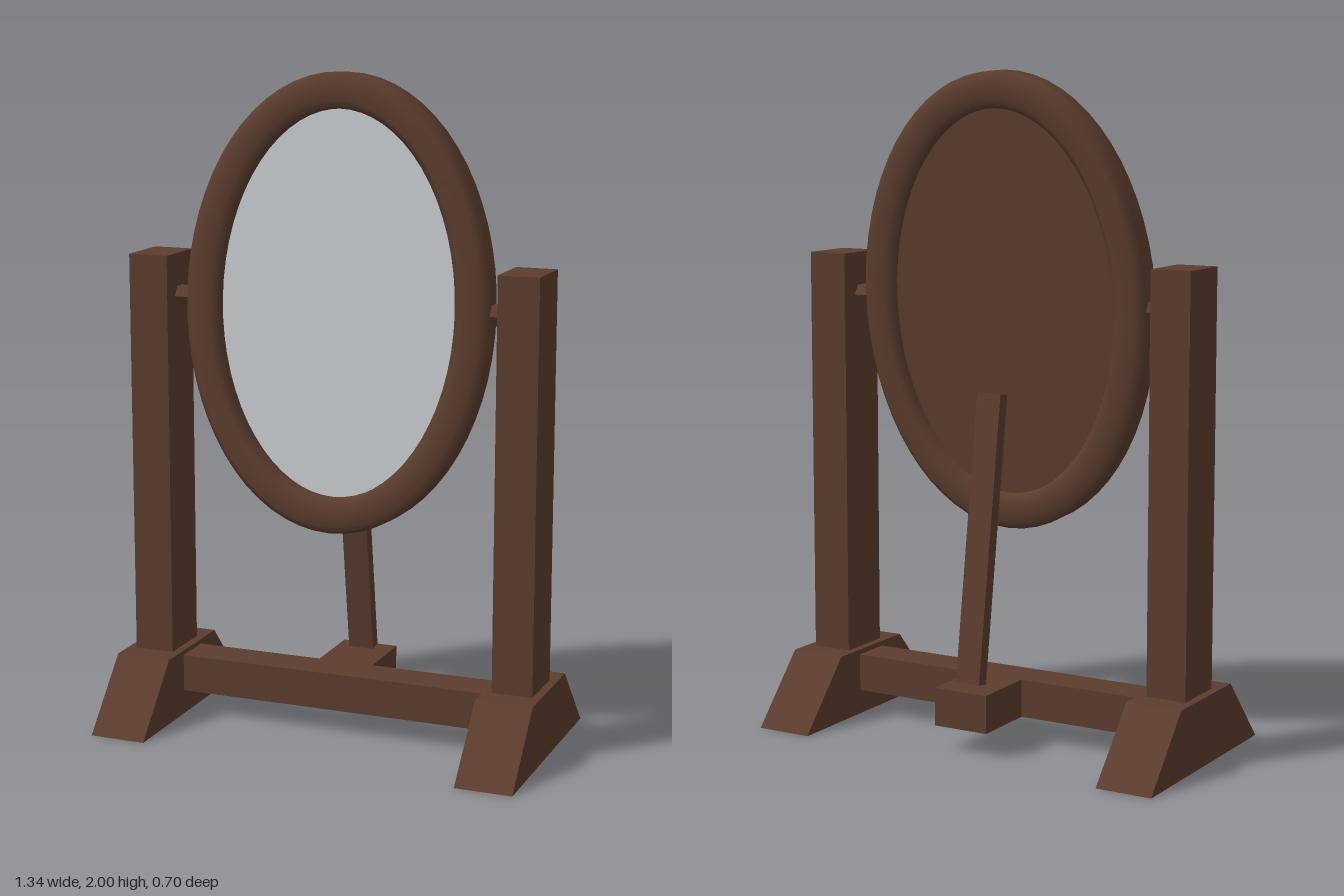
import * as THREE from 'three';

const wood = new THREE.MeshStandardMaterial({ color: 0x5c3d2e });
wood.name = 'dark wood';
const silver = new THREE.MeshStandardMaterial({ color: 0xc8ccd0 });
silver.name = 'mirror silver';

function add(parent, name, geometry, material, x = 0, y = 0, z = 0) {
  const mesh = new THREE.Mesh(geometry, material);
  mesh.name = name;
  mesh.position.set(x, y, z);
  parent.add(mesh);
  return mesh;
}

// Sweep a softened square section of constant width around an ellipse
function ovalRing(rx, ry, half, flat, segments = 64) {
  const section = [
    [half, -flat], [half, flat], [flat, half], [-flat, half],
    [-half, flat], [-half, -flat], [-flat, -half], [flat, -half],
  ];
  const count = section.length;
  const positions = [];
  const index = [];
  for (let i = 0; i < segments; i++) {
    const t = (i / segments) * Math.PI * 2;
    const normal = new THREE.Vector2(Math.cos(t) * ry, Math.sin(t) * rx).normalize();
    for (const [out, z] of section) {
      positions.push(Math.cos(t) * rx + normal.x * out, Math.sin(t) * ry + normal.y * out, z);
    }
    for (let j = 0; j < count; j++) {
      const a = i * count + j;
      const b = ((i + 1) % segments) * count + j;
      const c = ((i + 1) % segments) * count + (j + 1) % count;
      const d = i * count + (j + 1) % count;
      index.push(a, b, c, a, c, d);
    }
  }
  const geometry = new THREE.BufferGeometry();
  geometry.setAttribute('position', new THREE.Float32BufferAttribute(positions, 3));
  geometry.setIndex(index);
  geometry.computeVertexNormals();
  return geometry;
}

// Oval plate facing +z
function ovalPlate(rx, ry, depth) {
  const geometry = new THREE.CylinderGeometry(1, 1, depth, 64);
  geometry.rotateX(Math.PI / 2);
  geometry.scale(rx, ry, 1);
  return geometry;
}

// Trapezoid foot, extruded along x
function footGeometry() {
  const shape = new THREE.Shape([
    new THREE.Vector2(-0.35, 0), new THREE.Vector2(0.35, 0),
    new THREE.Vector2(0.165, 0.205), new THREE.Vector2(-0.165, 0.205),
  ]);
  const geometry = new THREE.ExtrudeGeometry(shape, { depth: 0.175, bevelEnabled: false });
  geometry.translate(0, 0, -0.0875);
  geometry.rotateY(Math.PI / 2);
  return geometry;
}

// Six-sided pivot pin lying along x
function pinGeometry() {
  let geometry = new THREE.CylinderGeometry(0.034, 0.034, 0.13, 6);
  geometry.rotateZ(Math.PI / 2);
  geometry = geometry.toNonIndexed();
  geometry.computeVertexNormals();
  return geometry;
}

export function createModel() {
  const model = new THREE.Group();
  model.name = 'standingMirror';

  // Side supports
  for (const [side, s] of [['left', 1], ['right', -1]]) {
    add(model, side + 'Foot', footGeometry(), wood, s * 0.5825, 0, 0);
    add(model, side + 'Post', new THREE.BoxGeometry(0.125, 1.25, 0.175), wood, s * 0.5825, 0.82, 0);
    add(model, side + 'PivotPin', pinGeometry(), wood, s * 0.485, 1.315, 0);
  }

  // Crossbar with the rear block and leaning strut
  add(model, 'crossbar', new THREE.BoxGeometry(1.04, 0.115, 0.125), wood, 0, 0.1325, 0);
  add(model, 'strutBlock', new THREE.BoxGeometry(0.176, 0.115, 0.215), wood, 0, 0.1325, -0.1625);
  const strut = add(model, 'strut', new THREE.BoxGeometry(0.08, 0.86, 0.04), wood, 0, 0.627, -0.147);
  strut.rotation.x = 0.146;

  // Tilted oval mirror
  const mirror = new THREE.Group();
  mirror.name = 'mirror';
  mirror.position.y = 1.315;
  mirror.rotation.x = -0.065;
  model.add(mirror);
  add(mirror, 'frame', ovalRing(0.427, 0.63, 0.0535, 0.031), wood);
  add(mirror, 'backing', ovalPlate(0.4, 0.603, 0.02), wood, 0, 0, -0.01);
  add(mirror, 'glass', ovalPlate(0.395, 0.598, 0.006), silver, 0, 0, 0.003);

  return model;
}
